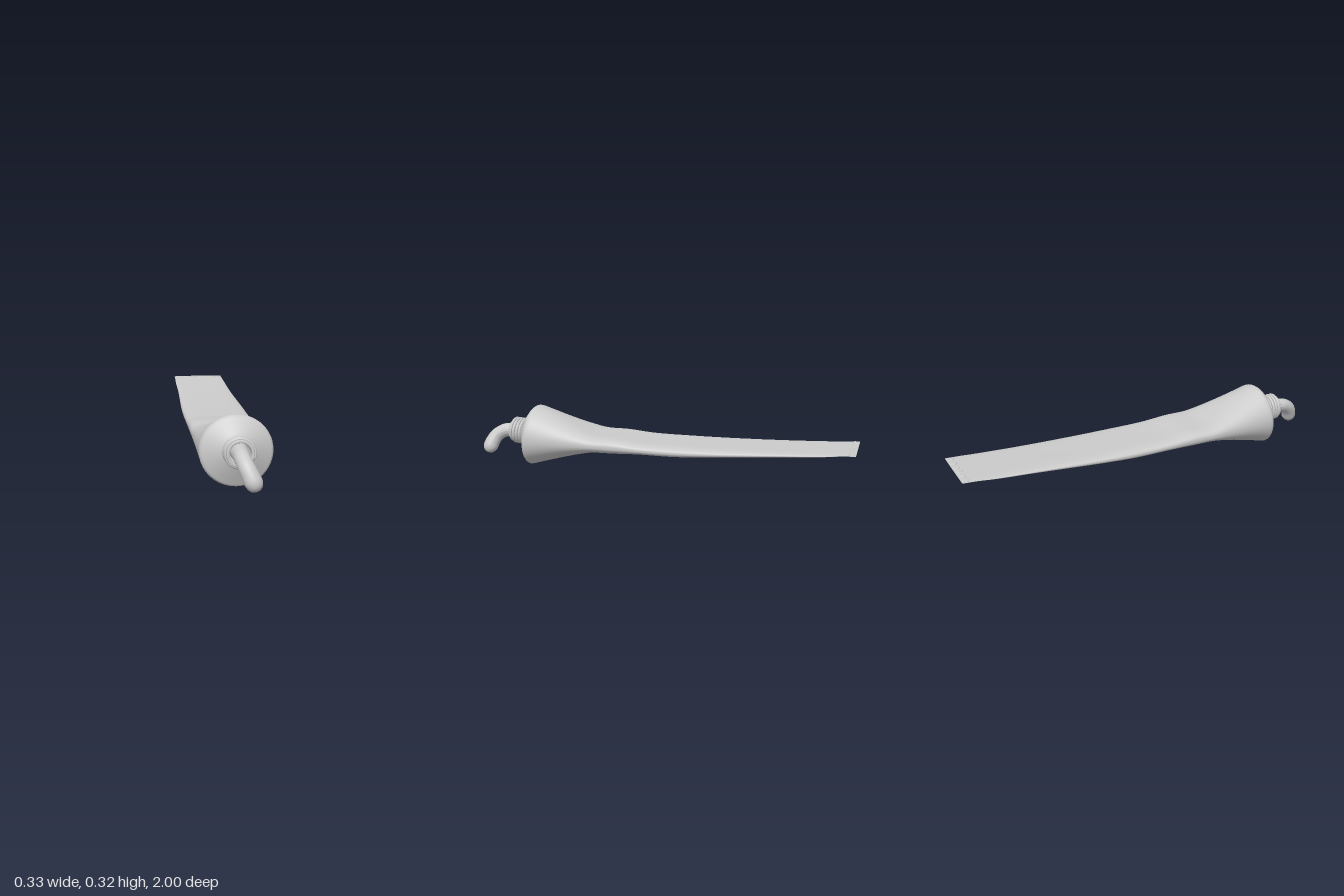
import * as THREE from 'three';

const material = new THREE.MeshStandardMaterial({ color: 0xcccccc, side: THREE.DoubleSide, roughness: 0.7 });

function add(parent, geometry, name) {
  const mesh = new THREE.Mesh(geometry, material);
  mesh.name = name;
  parent.add(mesh);
  return mesh;
}

// Closed rings of points, listed from front to back, joined into a smooth skin
function loft(rings) {
  const n = rings[0].length, index = [];
  for (let i = 0; i < rings.length - 1; i++) {
    for (let j = 0; j < n; j++) {
      const a = i * n + j, b = i * n + (j + 1) % n, c = a + n, d = b + n;
      index.push(a, c, b, b, c, d);
    }
  }
  const geometry = new THREE.BufferGeometry();
  geometry.setAttribute('position', new THREE.Float32BufferAttribute(rings.flat(2), 3));
  geometry.setIndex(index);
  geometry.computeVertexNormals();
  return geometry;
}

// One cross-section: round at the shoulder, flat and slightly hollow on top further back
function section(z, top, bottom, halfWidth, flat, tilt) {
  const ring = [], mid = (top + bottom) / 2, half = (top - bottom) / 2, n = 72;
  const power = 1 - 0.22 * flat;
  for (let j = 0; j < n; j++) {
    const a = (j / n) * Math.PI * 2, c = Math.cos(a), s = Math.sin(a);
    const x = halfWidth * Math.sign(c) * Math.abs(c) ** power;
    let y = mid + half * Math.sign(s) * Math.abs(s) ** power;
    if (s > 0) y -= flat * half * 0.25 * s ** 4;
    ring.push([x, y, z - tilt * (y - 0.16)]);
  }
  return ring;
}

function tubeBody() {
  const rings = [
    section(0.768, 0.242, 0.112, 0.065, 0, 0.08),
    section(0.764, 0.252, 0.102, 0.075, 0, 0.08),
    section(0.722, 0.312, 0.012, 0.155, 0, 0.09),
    section(0.714, 0.318, 0.004, 0.163, 0, 0.09),
    section(0.704, 0.321, 0.0, 0.167, 0, 0.09),
  ];
  // Side outline as (z, top, bottom)
  const outline = new THREE.CatmullRomCurve3([
    [0.69, 0.319, 0.003], [0.55, 0.275, 0.047], [0.42, 0.233, 0.086],
    [0.34, 0.211, 0.105], [0.22, 0.207, 0.111], [0.08, 0.192, 0.12],
    [-0.1, 0.19, 0.122], [-0.3, 0.19, 0.136], [-0.6, 0.196, 0.163],
    [-0.85, 0.204, 0.187], [-0.93, 0.207, 0.199], [-1, 0.21, 0.204],
  ].map(p => new THREE.Vector3(...p)));
  for (let i = 0; i <= 80; i++) {
    const p = outline.getPoint(i / 80);
    const taper = THREE.MathUtils.smoothstep(-p.x, 0.1, 0.75);
    const flat = 1 - THREE.MathUtils.smoothstep(p.x, 0.2, 0.68);
    const end = THREE.MathUtils.smoothstep(-p.x, 0.75, 1);
    rings.push(section(p.x, p.y, p.z, 0.167 - 0.017 * taper - 0.005 * end, flat,
      0.09 * (1 - flat)));
  }
  // Flat closing of the tail
  rings.push(section(-1, 0.2075, 0.2065, 0.144, 0, 0));
  return loft(rings);
}

// Threaded neck, modelled upright along y
function neck() {
  const group = new THREE.Group();
  group.name = 'neck';
  const profile = [[0.062, -0.02], [0.062, 0.098], [0.059, 0.102], [0.05, 0.102], [0.048, 0.098], [0.048, 0.01], [0, 0.01]];
  add(group, new THREE.LatheGeometry(profile.map(p => new THREE.Vector2(...p)), 48), 'neckSleeve');
  const turns = 4, points = [];
  for (let i = 0; i <= turns * 24; i++) {
    const a = (i / 24) * Math.PI * 2 + 0.3;
    points.push(new THREE.Vector3(Math.cos(a) * 0.064, 0.024 + 0.017 * i / 24, Math.sin(a) * 0.064));
  }
  add(group, new THREE.TubeGeometry(new THREE.CatmullRomCurve3(points), 220, 0.0075, 8), 'screwThread');
  group.position.set(0, 0.172, 0.738);
  group.rotation.x = Math.PI / 2 - 0.06;
  return group;
}

// Squeezed-out paste: a bent tube that closes to a blunt tip
function paste() {
  const curve = new THREE.CatmullRomCurve3([
    [0, 0.176, 0.76], [0, 0.176, 0.84], [0.001, 0.169, 0.892], [0.012, 0.142, 0.935],
    [0.027, 0.108, 0.956], [0.037, 0.082, 0.965], [0.042, 0.047, 0.972],
  ].map(p => new THREE.Vector3(...p)));
  const steps = 60, sides = 24;
  const geometry = new THREE.TubeGeometry(curve, steps, 0.041, sides);
  const pos = geometry.attributes.position, v = new THREE.Vector3();
  for (let i = 0; i <= steps; i++) {
    const t = i / steps, center = curve.getPointAt(t);
    const cap = Math.max(0, (t - 0.83) / 0.17);
    const scale = (1 - 0.12 * Math.sin(Math.PI * t) ** 2) * Math.sqrt(Math.max(0, 1 - cap ** 2));
    for (let j = 0; j <= sides; j++) {
      const k = i * (sides + 1) + j;
      v.fromBufferAttribute(pos, k).sub(center).multiplyScalar(scale).add(center);
      pos.setXYZ(k, v.x, v.y, v.z);
    }
  }
  geometry.computeVertexNormals();
  return geometry;
}

export function createModel() {
  const model = new THREE.Group();
  model.name = 'squeezeTube';
  add(model, tubeBody(), 'tubeBody');
  model.add(neck());
  add(model, paste(), 'paste');

  // Row of pressed ovals along the crimped tail
  const crimps = new THREE.Group();
  crimps.name = 'crimps';
  for (let i = 0; i < 6; i++) {
    const oval = add(crimps, new THREE.SphereGeometry(1, 20, 10), 'crimp');
    oval.scale.set(0.022, 0.002, 0.016);
    oval.position.set(-0.12 + i * 0.048, 0.2085, -0.979);
  }
  model.add(crimps);
  return model;
}
